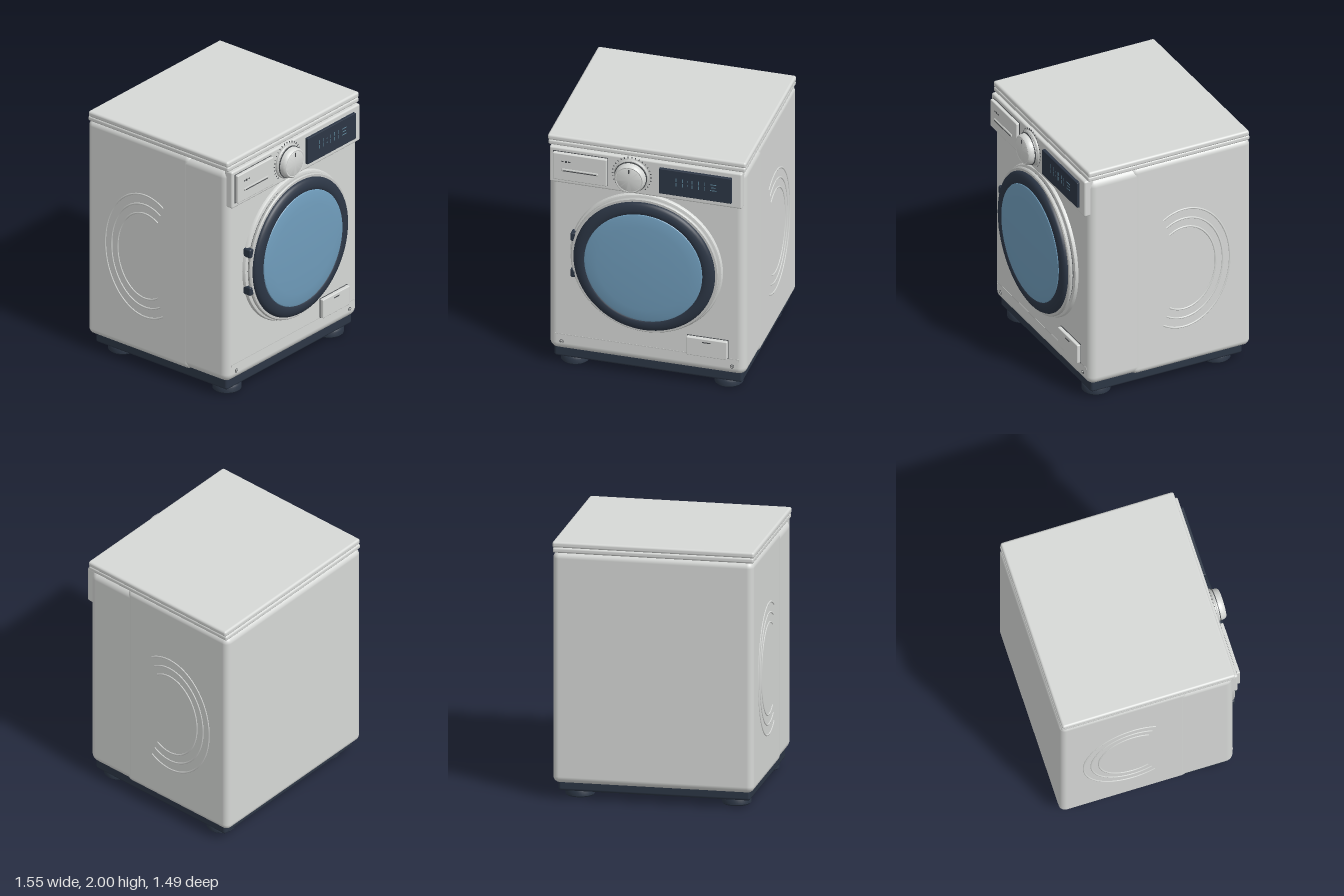
import * as THREE from 'three';
import { toCreasedNormals } from 'three/addons/utils/BufferGeometryUtils.js';
import { RoundedBoxGeometry } from 'three/addons/geometries/RoundedBoxGeometry.js';

export function createModel() {
  const model = new THREE.Group();
  model.name = 'washingMachine';

  const material = (name, color) => {
    const m = new THREE.MeshStandardMaterial({ color });
    m.name = name;
    return m;
  };
  const enamel = material('enamel', 0xd6d8d6);
  const silver = material('silver', 0xc6c8c6);
  const navy = material('navy', 0x2c3645);
  const glass = material('glass', 0x6f9cbb);
  const slate = material('slate', 0x4a4d50);
  const readout = material('readout', 0x5b8296);

  const add = (name, geometry, mat, parent = model) => {
    const mesh = new THREE.Mesh(geometry, mat);
    mesh.name = name;
    parent.add(mesh);
    return mesh;
  };
  // Rounded box given by its extents on each axis
  const block = (name, mat, [x0, x1], [y0, y1], [z0, z1], radius, parent) => {
    const g = new RoundedBoxGeometry(x1 - x0, y1 - y0, z1 - z0, 4, radius);
    g.translate((x0 + x1) / 2, (y0 + y1) / 2, (z0 + z1) / 2);
    return add(name, g, mat, parent);
  };
  // Thin plate lying on a front face at depth z
  const plate = (name, mat, x, y, z, w, h, parent) => {
    const mesh = add(name, new THREE.BoxGeometry(w, h, 0.006), mat, parent);
    mesh.position.set(x, y, z);
    return mesh;
  };
  const lathe = (points, segments = 72) => toCreasedNormals(
    new THREE.LatheGeometry(points.map(([r, h]) => new THREE.Vector2(r, h)), segments), 0.6);
  // Turned part whose axis points to the front
  const turned = (name, mat, points, x, y, parent) =>
    add(name, lathe(points).rotateX(Math.PI / 2).translate(x, y, 0), mat, parent);

  // Cabinet: full rear shell, and a front shell with softer edges
  block('rearCabinet', enamel, [-0.77, 0.77], [0.13, 1.925], [-0.745, 0.26], 0.05);
  block('frontCabinet', enamel, [-0.769, 0.769], [0.135, 1.915], [-0.2, 0.625], 0.065);

  // Two layer lid
  block('lidTrim', enamel, [-0.77, 0.77], [1.915, 1.957], [-0.735, 0.632], 0.015);
  block('lid', enamel, [-0.775, 0.775], [1.952, 2.0], [-0.73, 0.632], 0.018);

  // Plinth and feet
  block('plinth', navy, [-0.735, 0.735], [0.06, 0.16], [-0.69, 0.59], 0.02);
  const footProfile = [[0, 0], [0.1, 0], [0.11, 0.01], [0.11, 0.045], [0.1, 0.065], [0.075, 0.09], [0.07, 0.12]];
  for (const x of [-0.6, 0.6]) {
    for (const z of [-0.535, 0.48]) {
      add('foot', lathe(footProfile, 36), navy).position.set(x, 0, z);
    }
  }

  // Control panel
  const panel = new THREE.Group();
  panel.name = 'controlPanel';
  model.add(panel);
  block('panelFascia', enamel, [-0.752, 0.752], [1.61, 1.917], [0.58, 0.657], 0.015, panel);

  // Detergent drawer
  block('drawerGap', slate, [-0.723, -0.292], [1.647, 1.888], [0.64, 0.66], 0.004, panel);
  block('detergentDrawer', enamel, [-0.718, -0.297], [1.652, 1.883], [0.64, 0.685], 0.008, panel);
  block('drawerGrip', silver, [-0.648, -0.362], [1.733, 1.756], [0.67, 0.694], 0.008, panel);
  plate('gripSlot', slate, -0.505, 1.742, 0.692, 0.26, 0.007, panel);
  for (let i = 0; i < 3; i++) {
    plate('drawerMark', slate, -0.64 + i * 0.026, 1.817, 0.684, 0.016, i === 1 ? 0.015 : 0.01, panel);
  }

  // Programme dial with its ring of ticks
  const dialX = -0.108, dialY = 1.77;
  turned('dialCollar', silver,
    [[0.136, 0.65], [0.136, 0.668], [0.128, 0.676], [0.11, 0.676]], dialX, dialY, panel);
  turned('dial', enamel,
    [[0.122, 0.66], [0.12, 0.71], [0.115, 0.728], [0.106, 0.737], [0.098, 0.735], [0.092, 0.738], [0, 0.74]],
    dialX, dialY, panel);
  turned('dialGroove', slate, [[0.127, 0.683], [0.127, 0.69], [0.11, 0.69]], dialX, dialY, panel);
  plate('dialPointer', slate, dialX, dialY + 0.075, 0.739, 0.008, 0.032, panel);
  for (let i = 0; i < 25; i++) {
    const a = -Math.PI * 0.25 + (i / 24) * Math.PI * 1.5;
    const tick = plate('dialTick', slate, dialX + Math.cos(a) * 0.15, dialY + Math.sin(a) * 0.15,
      0.657, 0.012, 0.006, panel);
    tick.rotation.z = a;
  }

  // Display with plain light bars
  block('display', navy, [0.11, 0.675], [1.659, 1.875], [0.64, 0.68], 0.005, panel);
  for (const x of [0.245, 0.295, 0.37, 0.42, 0.465]) {
    for (const y of [1.757, 1.797]) plate('displayBar', readout, x, y, 0.679, 0.006, 0.03, panel);
  }
  for (const y of [1.76, 1.795]) plate('displayDot', readout, 0.333, y, 0.679, 0.008, 0.008, panel);
  [0.05, 0.036, 0.05].forEach((w, i) =>
    plate('menuBar', readout, 0.535, 1.801 - i * 0.025, 0.679, w, 0.006, panel));

  // Round door
  const door = new THREE.Group();
  door.name = 'door';
  model.add(door);
  const doorY = 1.015;
  turned('doorFrame', enamel,
    [[0.595, 0.6], [0.595, 0.635], [0.588, 0.648], [0.575, 0.652], [0.55, 0.652]], 0, doorY, door);
  turned('doorSeal', slate, [[0.563, 0.645], [0.563, 0.662]], 0, doorY, door);
  turned('doorRim', silver,
    [[0.555, 0.66], [0.573, 0.662], [0.577, 0.668], [0.577, 0.682], [0.57, 0.69], [0.54, 0.69]], 0, doorY, door);
  turned('doorBezel', navy,
    [[0.552, 0.685], [0.552, 0.697], [0.545, 0.71], [0.53, 0.72], [0.51, 0.727], [0.49, 0.729],
      [0.472, 0.727], [0.458, 0.72], [0.45, 0.71]], 0, doorY, door);
  turned('doorGlass', glass,
    [[0.466, 0.715], [0.458, 0.727], [0.44, 0.732], [0.36, 0.739], [0.24, 0.744], [0.12, 0.747], [0, 0.748]],
    0, doorY, door);
  for (const y of [0.858, 1.172]) {
    block('hinge', navy, [-0.58, -0.535], [y - 0.036, y + 0.036], [0.62, 0.69], 0.012, door);
  }

  // Filter cover
  block('filterGap', slate, [0.312, 0.638], [0.273, 0.438], [0.61, 0.629], 0.004);
  block('filterCover', enamel, [0.317, 0.633], [0.278, 0.433], [0.61, 0.657], 0.007);
  plate('filterSlot', slate, 0.475, 0.404, 0.656, 0.065, 0.008);

  // Kick panel seam and screws
  plate('kickSeam', silver, 0, 0.277, 0.624, 1.44, 0.006);
  for (const side of [-1, 1]) {
    plate('seamEnd', silver, side * 0.718, 0.269, 0.624, 0.005, 0.018);
    turned('screwRim', slate, [[0.016, 0.62], [0.016, 0.628], [0, 0.628]], side * 0.665, 0.214);
    turned('screw', silver, [[0.012, 0.62], [0.012, 0.631], [0, 0.631]], side * 0.665, 0.214);
    plate('screwSlot', slate, side * 0.665, 0.214, 0.63, 0.018, 0.004);
  }

  // Raised curved ribs on both sides
  const arcs = [[0.388, 0.51], [0.328, 0.43], [0.268, 0.355]];
  for (const side of [-1, 1]) {
    for (const [rz, ry] of arcs) {
      const points = [];
      for (let i = 0; i <= 32; i++) {
        const a = THREE.MathUtils.degToRad(63 + (i / 32) * 234);
        points.push(new THREE.Vector3(side * 0.768, 0.957 + Math.sin(a) * ry, -0.175 + Math.cos(a) * rz));
      }
      add('sideRib', new THREE.TubeGeometry(new THREE.CatmullRomCurve3(points), 72, 0.008, 8), enamel);
    }
  }

  return model;
}
